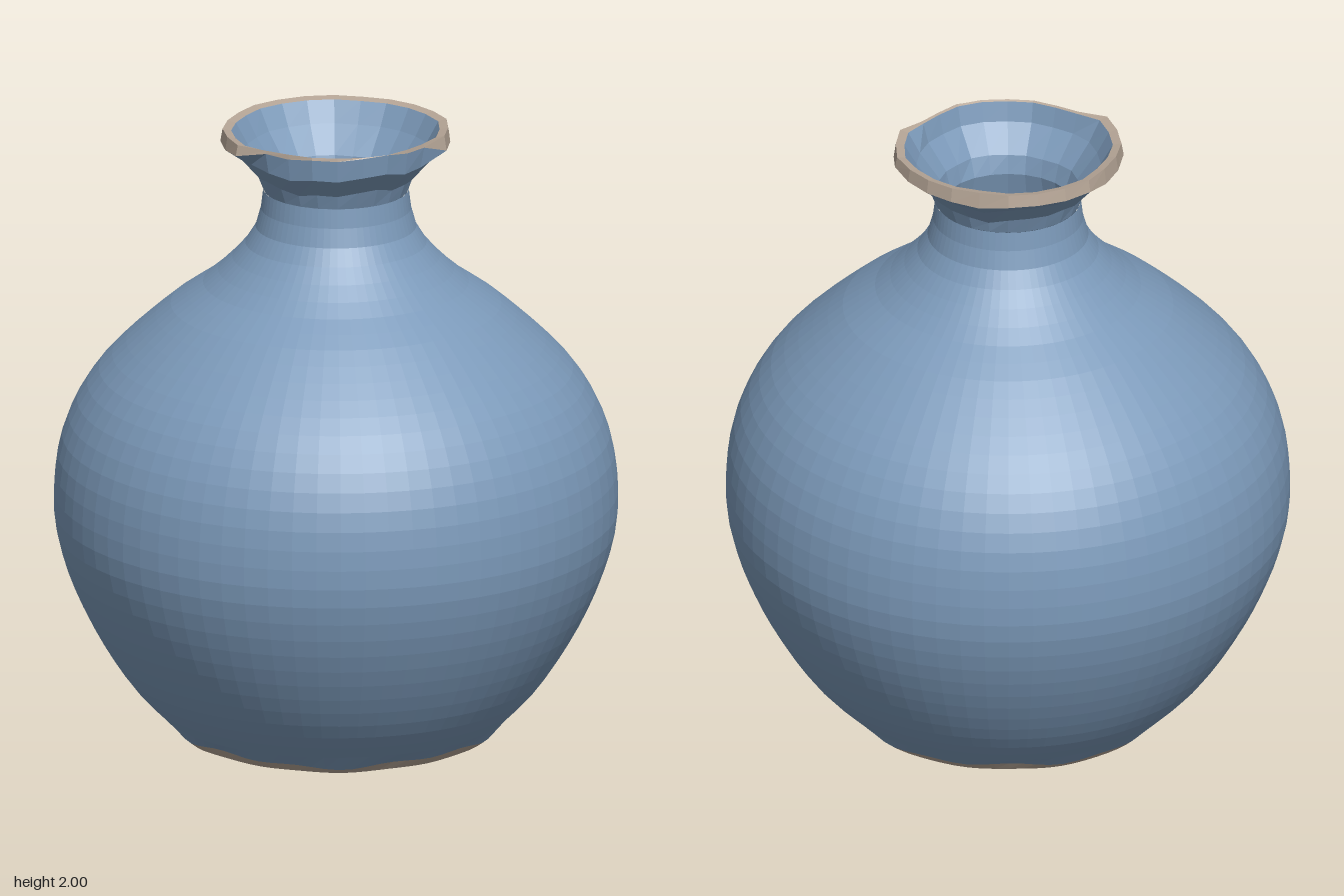
import * as THREE from 'three';

const glaze = new THREE.MeshStandardMaterial({ color: 0x7c9aba, flatShading: true });
glaze.name = 'blue glaze';
const clay = new THREE.MeshStandardMaterial({ color: 0xb5a596, flatShading: true });
clay.name = 'bare clay';

const mix = THREE.MathUtils.lerp;

// Surface swept round the y axis; each ring is a function of the angle giving [radius, height].
// Angle 0 is the front and grows towards +x.
function sweep(name, rings, sides, material) {
  const pos = [], index = [];
  for (const ring of rings) {
    for (let j = 0; j < sides; j++) {
      const a = (j / sides) * Math.PI * 2;
      const [r, y] = ring(a);
      pos.push(r * Math.sin(a), y, r * Math.cos(a));
    }
  }
  for (let i = 0; i < rings.length - 1; i++) {
    for (let j = 0; j < sides; j++) {
      const k = (j + 1) % sides;
      const a = i * sides + j, b = i * sides + k, c = a + sides, d = b + sides;
      index.push(a, b, d, a, d, c);
    }
  }
  const geo = new THREE.BufferGeometry();
  geo.setAttribute('position', new THREE.Float32BufferAttribute(pos, 3));
  geo.setIndex(index);
  geo.computeVertexNormals();
  const mesh = new THREE.Mesh(geo, material);
  mesh.name = name;
  return mesh;
}

// Round rings from a smooth profile of [radius, height] points
function smoothRings(points, count) {
  const curve = new THREE.SplineCurve(points.map(p => new THREE.Vector2(...p)));
  return curve.getSpacedPoints(count).map(p => () => [p.x, p.y]);
}

// Uneven edges: ragged glaze line at the foot, wavy lip cut back at the front
const footWave = a => 0.006 * Math.sin(5 * a) + 0.005 * Math.sin(11 * a + 1);
const lipWave = a => 0.008 * Math.sin(4 * a + 1) + 0.006 * Math.sin(9 * a);
const frontCut = a => THREE.MathUtils.smoothstep(Math.cos(a + 0.13), 0.4, 0.65);
const footEdge = a => [0.508, 0.052 + footWave(a)];
const drip = a => -0.025 * Math.max(0, Math.cos(a + 2.07)) ** 40;

// Lip rings shared by the glaze and the bare rim
const lipOuter = a => {
  const f = frontCut(a);
  return [mix(0.362, 0.315, f) + lipWave(a) * 0.5, mix(1.955, 1.984, f) + lipWave(a) * 0.7];
};
const lipTop = a => {
  const f = frontCut(a);
  return [mix(0.355, 0.313, f) + lipWave(a) * 0.5, mix(1.998, 1.992, f)];
};
const lipInner = a => {
  const f = frontCut(a);
  return [mix(0.328, 0.306, f) + lipWave(a) * 0.5, mix(1.992, 1.988, f)];
};

export function createModel() {
  const vase = new THREE.Group();
  vase.name = 'vase';

  // Unglazed foot
  vase.add(sweep('foot', [
    () => [0, 0.025],
    a => [0.42, 0.025 + drip(a)],
    a => [0.485, 0.028 + footWave(a) * 0.3],
    footEdge,
  ], 72, clay));

  // Round body up to the neck
  const body = smoothRings([
    [0.508, 0.052], [0.65, 0.2], [0.775, 0.4], [0.858, 0.6], [0.888, 0.78], [0.86, 1.0],
    [0.755, 1.2], [0.55, 1.4], [0.4, 1.51], [0.29, 1.62], [0.245, 1.7], [0.229, 1.8],
  ], 34);
  body[0] = footEdge;
  vase.add(sweep('body', body, 72, glaze));

  // Coarser flared neck
  vase.add(sweep('neck', [
    () => [0.229, 1.8],
    a => [0.248 + lipWave(a) * 0.6, 1.85 + lipWave(a)],
    a => [0.305 + lipWave(a) * 0.5, 1.915 + lipWave(a)],
    lipOuter,
  ], 24, glaze));

  // Bare rim
  vase.add(sweep('rim', [lipOuter, lipTop, lipInner], 24, clay));

  // Hollow inside with its floor
  vase.add(sweep('inside', [
    lipInner,
    a => [0.29 + lipWave(a) * 0.5, 1.925],
    a => [0.225 + lipWave(a) * 0.5, 1.84],
    ...smoothRings([
      [0.209, 1.78], [0.225, 1.68], [0.38, 1.48], [0.72, 1.2], [0.83, 1.0],
      [0.86, 0.78], [0.75, 0.42], [0.5, 0.07],
    ], 16),
    () => [0, 0.065],
  ], 24, glaze));

  return vase;
}
